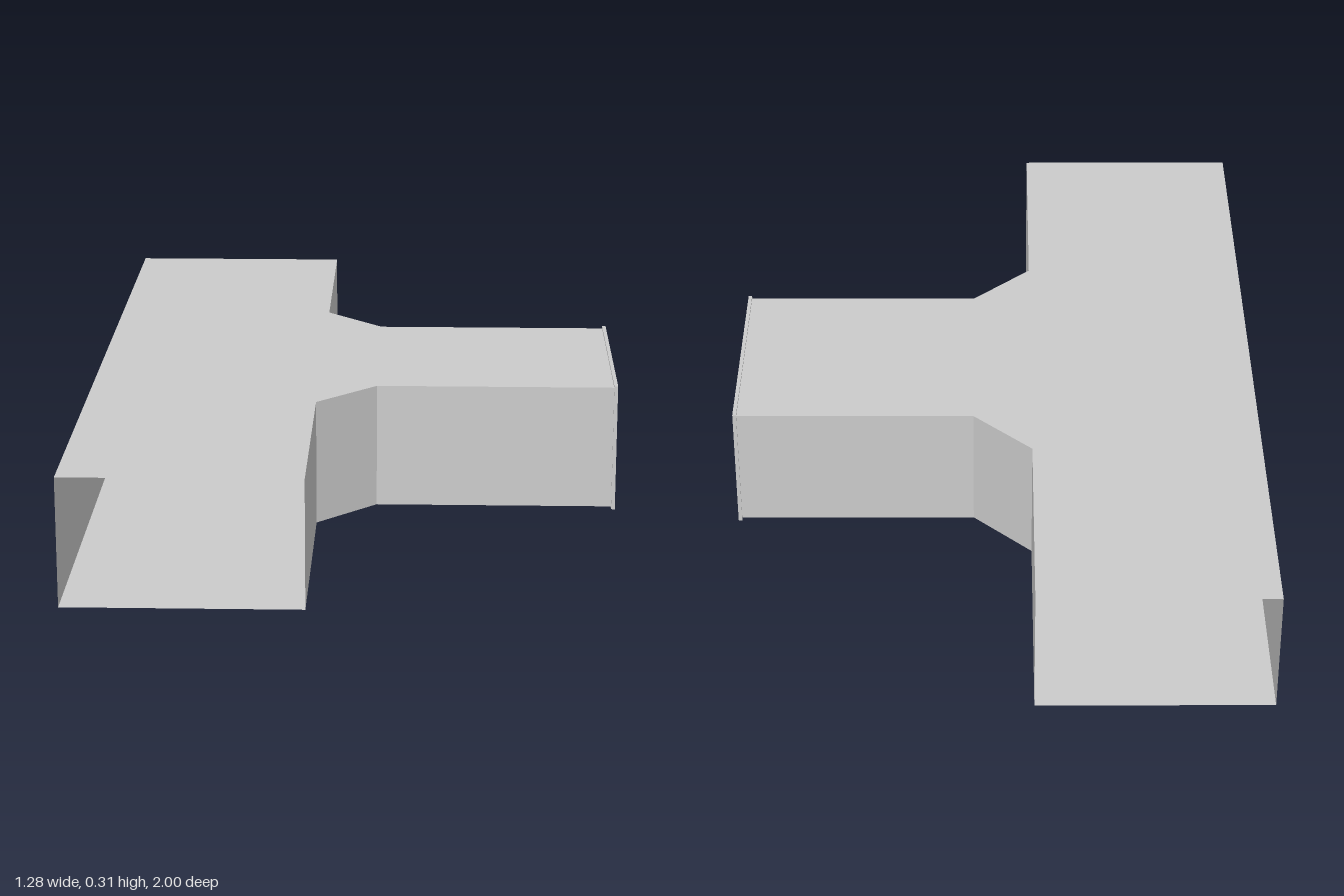
import * as THREE from 'three';

const Y0 = 0.006, Y1 = 0.31;   // floor and roof of the duct
const BACK = -0.64, SIDE = -0.09, END = 0.63, HALF = 0.273;

// Plan outline of the tee as [x, z]; open ends are listed separately
const outline = [
  [BACK, 1], [SIDE, 1], [SIDE, 0.413], [0.052, HALF], [END, HALF],
  [END, -HALF], [0.052, -HALF], [SIDE, -0.413], [SIDE, -1], [BACK, -1],
];
const openEdges = [0, 4, 8];

export function createModel() {
  const group = new THREE.Group();
  group.name = 'teeDuct';
  const material = new THREE.MeshStandardMaterial({
    color: 0xcccccc, side: THREE.DoubleSide, flatShading: true,
  });
  const add = (name, geometry) => {
    const mesh = new THREE.Mesh(geometry, material);
    mesh.name = name;
    group.add(mesh);
    return mesh;
  };

  // Roof and floor sheets
  const plan = (flip) => new THREE.ShapeGeometry(
    new THREE.Shape(outline.map(([x, z]) => new THREE.Vector2(x, flip * z))));
  add('roof', plan(-1).rotateX(-Math.PI / 2).translate(0, Y1, 0));
  add('floor', plan(1).rotateX(Math.PI / 2).translate(0, Y0, 0));

  // Upright sheets along every closed edge of the plan
  outline.forEach(([x, z], i) => {
    if (openEdges.includes(i)) return;
    const [x2, z2] = outline[(i + 1) % outline.length];
    const wall = new THREE.PlaneGeometry(Math.hypot(x2 - x, z2 - z), Y1 - Y0);
    wall.rotateY(Math.atan2(z - z2, x2 - x));
    wall.translate((x + x2) / 2, (Y0 + Y1) / 2, (z + z2) / 2);
    add('wall' + i, wall);
  });

  // Thin rim around the mouth of the branch
  const rectangle = (Type, w, y0, y1) => new Type([
    new THREE.Vector2(-w, y0), new THREE.Vector2(w, y0),
    new THREE.Vector2(w, y1), new THREE.Vector2(-w, y1),
  ]);
  const rim = rectangle(THREE.Shape, 0.277, 0, 0.315);
  rim.holes.push(rectangle(THREE.Path, HALF - 0.001, Y0 + 0.001, Y1 - 0.001));
  const rimGeometry = new THREE.ExtrudeGeometry(rim, { depth: 0.009, bevelEnabled: false });
  rimGeometry.rotateY(Math.PI / 2).translate(0.628, 0, 0);
  add('branchRim', rimGeometry);

  return group;
}
